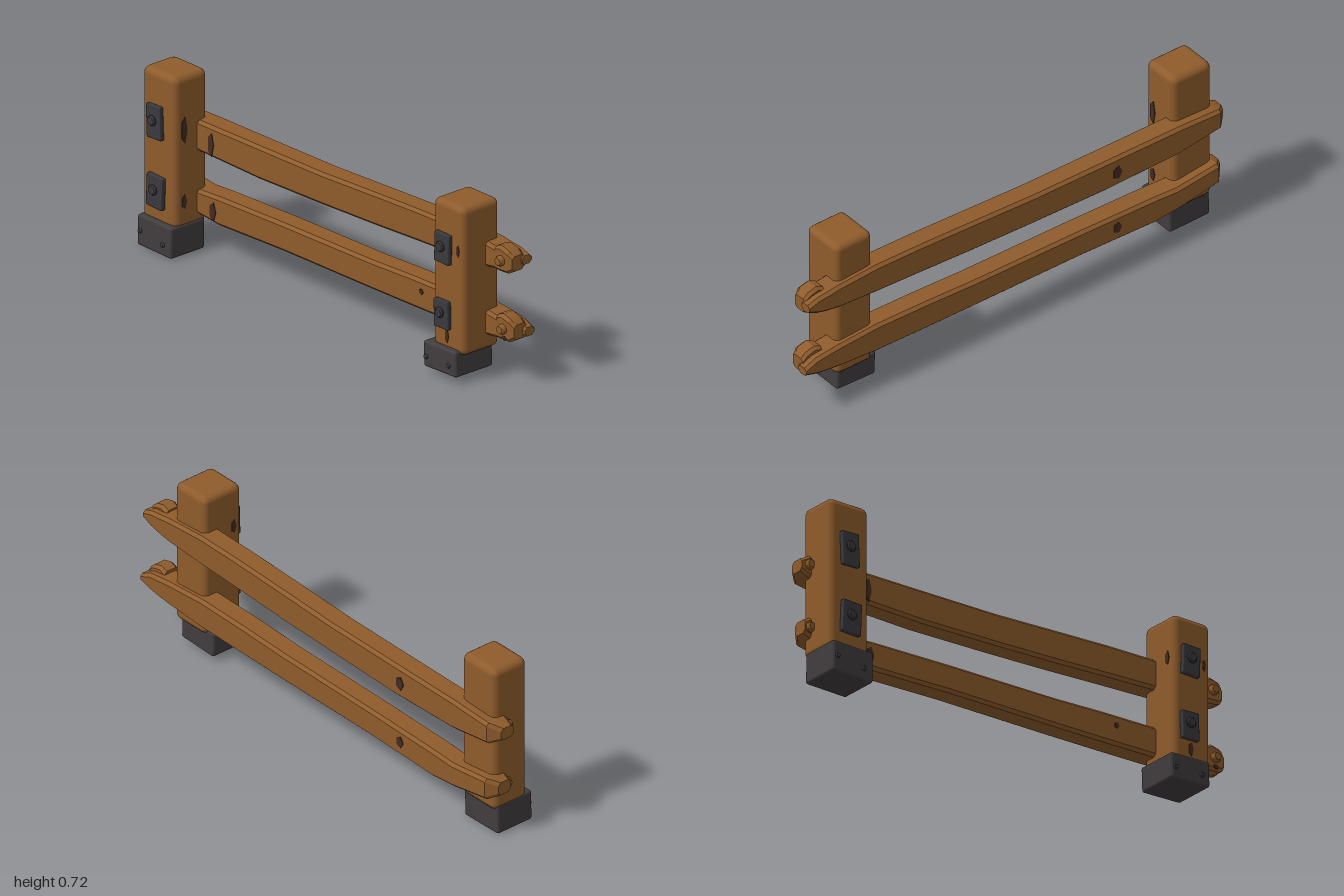
import * as THREE from 'three';
import { toCreasedNormals } from 'three/addons/utils/BufferGeometryUtils.js';
import { RoundedBoxGeometry } from 'three/addons/geometries/RoundedBoxGeometry.js';

const wood = new THREE.MeshStandardMaterial({ color: 0x8f5c2c, name: 'wood' });
const knotBrown = new THREE.MeshStandardMaterial({ color: 0x452b20, name: 'knotBrown' });
const stone = new THREE.MeshStandardMaterial({ color: 0x423d3f, name: 'footGrey' });
const iron = new THREE.MeshStandardMaterial({ color: 0x3a3a3e, name: 'iron' });

// Lofts a chamfered rectangle along x; each station is [x, bottom, top, back, front]
function loft(stations, chamfer) {
  const pos = [], index = [], n = 8;
  for (const [x, y0, y1, z0, z1] of stations) {
    const c = Math.min(chamfer, (y1 - y0) / 3, (z1 - z0) / 3);
    const ring = [
      [y1, z0 + c], [y1, z1 - c], [y1 - c, z1], [y0 + c, z1],
      [y0, z1 - c], [y0, z0 + c], [y0 + c, z0], [y1 - c, z0],
    ];
    for (const [y, z] of ring) pos.push(x, y, z);
  }
  const last = (stations.length - 1) * n;
  for (let i = 0; i < stations.length - 1; i++) {
    for (let j = 0; j < n; j++) {
      const a = i * n + j, b = i * n + (j + 1) % n;
      index.push(a, b, b + n, a, b + n, a + n);
    }
  }
  for (let j = 1; j < n - 1; j++) index.push(0, j + 1, j, last, last + j, last + j + 1);
  const g = new THREE.BufferGeometry();
  g.setAttribute('position', new THREE.Float32BufferAttribute(pos, 3));
  g.setIndex(index);
  return toCreasedNormals(g, 0.5);
}

export function createModel() {
  const fence = new THREE.Group();
  fence.name = 'woodenFence';

  const add = (name, geometry, material, x = 0, y = 0, z = 0) => {
    const mesh = new THREE.Mesh(geometry, material);
    mesh.name = name;
    mesh.position.set(x, y, z);
    fence.add(mesh);
    return mesh;
  };

  // Rounded box given by its limits on each axis
  const box = (name, mat, [x0, x1], [y0, y1], [z0, z1], r) =>
    add(name, new RoundedBoxGeometry(x1 - x0, y1 - y0, z1 - z0, 2, r), mat,
      (x0 + x1) / 2, (y0 + y1) / 2, (z0 + z1) / 2);

  // Round bolt head with a chamfered rim, pointing to the front
  const bolt = (name, mat, x, y, z, r, h) => {
    const profile = [[0, 0], [r, 0], [r, h * 0.55], [r * 0.75, h], [0, h]];
    const g = new THREE.LatheGeometry(profile.map(p => new THREE.Vector2(...p)), 12);
    g.rotateX(Math.PI / 2);
    add(name, toCreasedNormals(g, 0.5), mat, x, y, z);
  };

  // Thin ragged knot; turn rotates it about y to face another side
  const knot = (x, y, z, w, h, turn = 0) => {
    const s = new THREE.Shape();
    for (let i = 0; i < 10; i++) {
      const a = i / 10 * Math.PI * 2, k = 0.5 * (i % 2 ? 0.82 : 1);
      s[i ? 'lineTo' : 'moveTo'](Math.cos(a) * w * k, Math.sin(a) * h * k);
    }
    const g = new THREE.ExtrudeGeometry(s, { depth: 0.004, bevelEnabled: false });
    add('woodKnot', g, knotBrown, x, y, z).rotation.y = turn;
  };

  // Posts
  box('rightPost', wood, [-0.955, -0.767], [0.11, 0.727], [-0.075, 0.09], 0.028);
  box('leftPost', wood, [0.665, 0.837], [0.115, 0.712], [-0.092, 0.09], 0.025);

  // Feet, slightly tilted
  box('rightFoot', stone, [-0.955, -0.765], [0.006, 0.131], [-0.058, 0.112], 0.01)
    .rotation.z = -0.015;
  box('leftFoot', stone, [0.637, 0.818], [0.029, 0.132], [-0.074, 0.112], 0.01)
    .rotation.z = 0.035;
  for (const [x, y] of [[-0.81, 0.052], [-0.935, 0.07], [0.78, 0.072], [0.655, 0.07]]) {
    bolt('footBolt', stone, x, y, 0.109, 0.01, 0.011);
  }

  // Upper and lower rails
  const B = -0.118, F = -0.02;
  add('upperRail', loft([
    [-1, 0.45, 0.5, -0.08, F], [-0.96, 0.432, 0.522, B, F], [-0.76, 0.405, 0.53, B, F],
    [-0.43, 0.399, 0.533, B, F], [-0.08, 0.408, 0.537, B, F], [0.2, 0.418, 0.549, B, F],
    [0.45, 0.43, 0.559, B, F], [0.66, 0.439, 0.563, B, F], [0.84, 0.45, 0.552, B, F],
    [0.89, 0.458, 0.545, B, F], [0.94, 0.47, 0.54, B, -0.05], [0.985, 0.49, 0.525, B, -0.07],
  ], 0.012), wood);
  add('lowerRail', loft([
    [-0.985, 0.2, 0.255, -0.08, F], [-0.95, 0.182, 0.272, B, F], [-0.76, 0.15, 0.25, B, F],
    [-0.65, 0.14, 0.256, B, F], [-0.3, 0.151, 0.265, B, F], [0.2, 0.155, 0.272, B, F],
    [0.42, 0.158, 0.281, B, F], [0.66, 0.163, 0.286, B, F], [0.84, 0.175, 0.275, B, F],
    [0.9, 0.182, 0.268, B, F], [0.95, 0.19, 0.262, B, -0.05], [1, 0.205, 0.24, B, -0.07],
  ], 0.012), wood);

  // Blocks and pegs on the left rail ends
  for (const [x, y] of [[0.89, 0.508], [0.9, 0.235]]) {
    add('railEndBlock', loft([
      [x, y - 0.052, y + 0.045, -0.085, -0.018],
      [x + 0.03, y - 0.05, y + 0.055, -0.085, -0.015],
      [x + 0.068, y - 0.048, y + 0.045, -0.085, -0.015],
      [x + 0.09, y - 0.035, y + 0.025, -0.085, -0.025],
    ], 0.012), wood);
    bolt('railEndPeg', wood, x + 0.04, y, -0.016, 0.02, 0.021);
  }
  bolt('railEndPeg', wood, -0.965, 0.48, -0.021, 0.02, 0.018);
  bolt('railEndPeg', wood, -0.96, 0.225, -0.021, 0.02, 0.018);

  // Iron plates with bolts on the post fronts
  for (const [x, y, w, h, tilt] of [
    [-0.868, 0.527, 0.078, 0.134, 0.04], [-0.863, 0.248, 0.088, 0.13, -0.04],
    [0.735, 0.53, 0.08, 0.12, -0.03], [0.731, 0.263, 0.078, 0.112, 0.03],
  ]) {
    add('ironPlate', new RoundedBoxGeometry(w, h, 0.02, 1, 0.004), iron, x, y, 0.1)
      .rotation.z = tilt;
    bolt('plateBolt', iron, x - 0.003, y + 0.008, 0.109, 0.021, 0.012);
  }

  // Knots on rail fronts, rail backs and posts
  knot(-0.69, 0.457, -0.021, 0.032, 0.1);
  knot(-0.68, 0.19, -0.021, 0.036, 0.08);
  knot(0.48, 0.237, -0.021, 0.024, 0.024);
  knot(0.945, 0.2, -0.017, 0.025, 0.02);
  knot(-0.47, 0.465, -0.117, 0.045, 0.06, Math.PI);
  knot(-0.47, 0.208, -0.117, 0.04, 0.05, Math.PI);
  knot(-0.768, 0.51, 0.045, 0.03, 0.11, Math.PI / 2);
  knot(-0.768, 0.22, 0.045, 0.025, 0.06, Math.PI / 2);
  knot(0.806, 0.535, 0.088, 0.018, 0.05);
  knot(0.745, 0.175, 0.088, 0.022, 0.06);
  knot(0.666, 0.54, 0.05, 0.025, 0.06, -Math.PI / 2);

  return fence;
}
